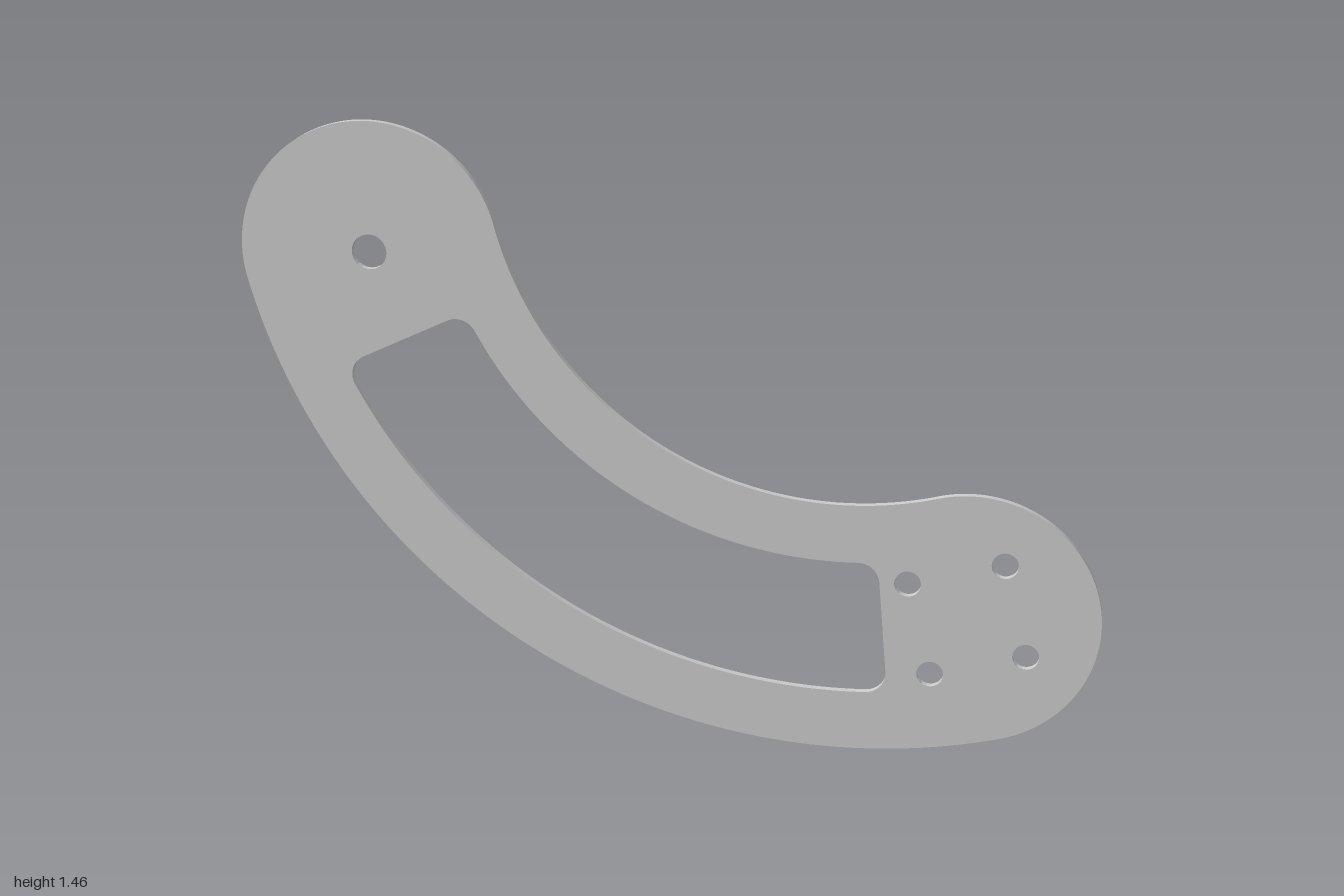
import * as THREE from 'three';
import { toCreasedNormals } from 'three/addons/utils/BufferGeometryUtils.js';

const rad = THREE.MathUtils.degToRad;
const C = { x: 0.4025, y: 1.445 };   // common centre of the curved edges
const MID = 1.14, CAP = 0.305;       // centreline radius and end-cap radius
const THICK = 0.017;

const polar = (r, a) => [C.x + r * Math.cos(a), C.y + r * Math.sin(a)];

function circleHole(x, y, r) {
  return new THREE.Path().absarc(x, y, r, 0, Math.PI * 2, true);
}

// Curved window with radial ends and rounded corners
function windowHole(ri, ro, a0, a1, f) {
  const q = Math.PI / 2;
  const dOut = Math.asin(f / (ro - f)), dIn = Math.asin(f / (ri + f));
  const p = new THREE.Path();
  p.absarc(...polar(ro - f, a0 + dOut), f, a0 - q, a0 + dOut, false);
  p.absarc(C.x, C.y, ro, a0 + dOut, a1 - dOut, false);
  p.absarc(...polar(ro - f, a1 - dOut), f, a1 - dOut, a1 + q, false);
  p.absarc(...polar(ri + f, a1 - dIn), f, a1 + q, a1 - dIn + 2 * q, false);
  p.absarc(C.x, C.y, ri, a1 - dIn, a0 + dIn, true);
  p.absarc(...polar(ri + f, a0 + dIn), f, a0 + dIn + 2 * q, a0 + 3 * q, false);
  p.closePath();
  return p;
}

export function createModel() {
  const group = new THREE.Group();
  group.name = 'curvedLinkPlate';

  // Outline: a curved bar with a tangent round cap at each end
  const a0 = rad(194.48), a1 = rad(285.2);
  const shape = new THREE.Shape();
  shape.absarc(C.x, C.y, MID + CAP, a0, a1, false);
  shape.absarc(...polar(MID, a1), CAP, a1, a1 + Math.PI, false);
  shape.absarc(C.x, C.y, MID - CAP, a1, a0, true);
  shape.absarc(...polar(MID, a0), CAP, a0 - Math.PI, a0, false);

  // Window, pivot hole and four bolt holes
  shape.holes.push(windowHole(0.975, 1.3, rad(205.5), rad(275.1), 0.05));
  shape.holes.push(circleHole(...polar(MID, a0), 0.041));
  for (const [x, y] of [[0.559, 0.426], [0.781, 0.485], [0.617, 0.204], [0.837, 0.263]]) {
    shape.holes.push(circleHole(x, y, 0.031));
  }

  let geo = new THREE.ExtrudeGeometry(shape, { depth: THICK, bevelEnabled: false, curveSegments: 64 });
  geo.translate(0, 0, -THICK / 2);
  geo = toCreasedNormals(geo, rad(35));

  const plate = new THREE.Mesh(geo, new THREE.MeshStandardMaterial({ color: 0xcccccc }));
  plate.name = 'plate';
  plate.rotation.y = 0.1225;   // plate stands slightly turned
  group.add(plate);
  return group;
}
